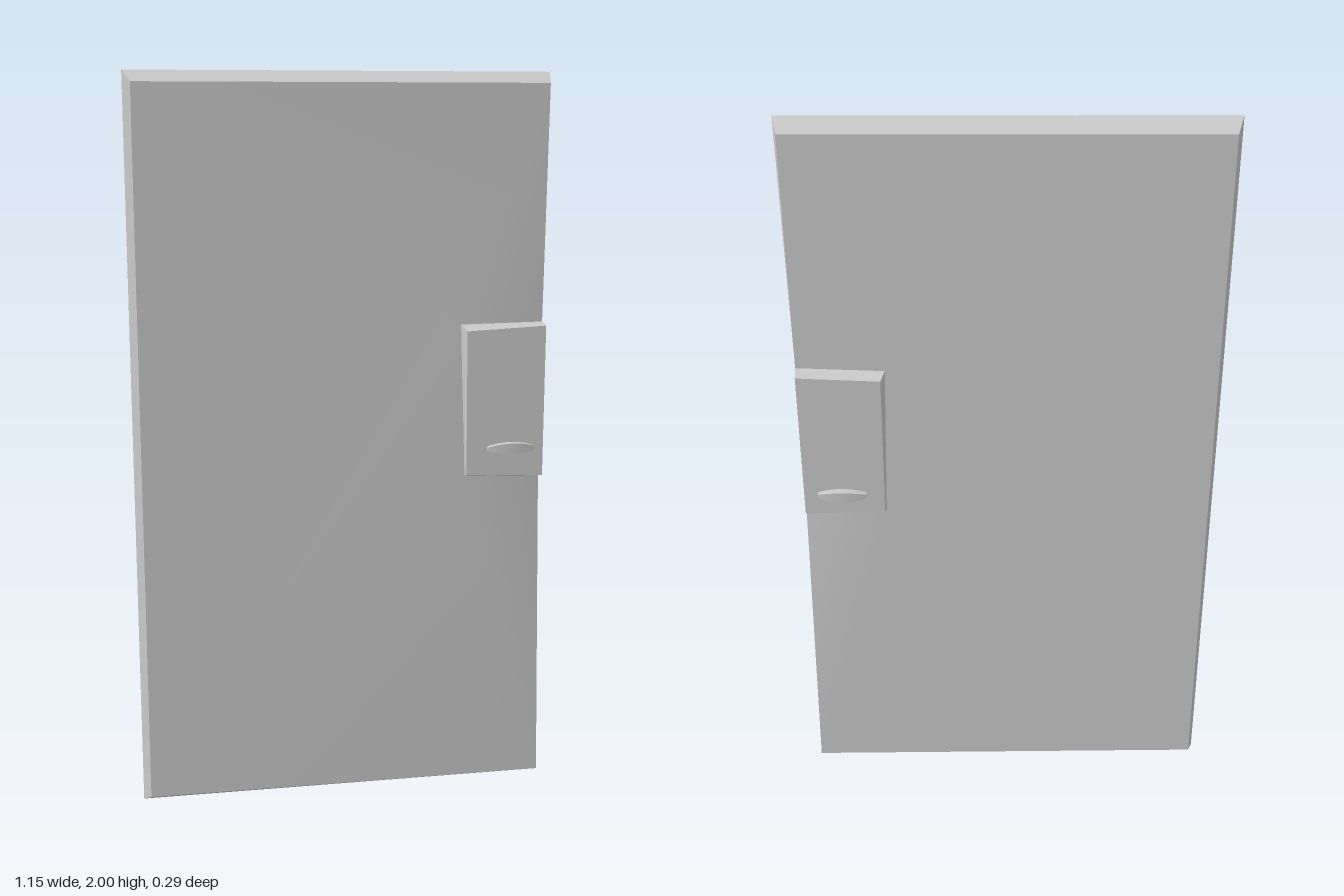
import * as THREE from 'three';

const grey = new THREE.MeshStandardMaterial({ color: 0xc8c8c8 });
grey.name = 'plain grey';

// Corner points of the front half: panel face, centre ridge (z = 0) and lock block
const P = {
  bl: [-0.555, 0.03, 0.058], br: [0.565, 0.018, 0.056], tr: [0.553, 1.97, 0.05], tl: [-0.557, 1.97, 0.053],
  // where the lock block meets the panel
  lockBL: [0.328, 0.912, 0.072], lockBR: [0.554, 0.915, 0.03], lockTR: [0.554, 1.33, 0.03], lockTL: [0.318, 1.33, 0.047],
  // outer face of the lock block
  outBL: [0.332, 0.915, 0.078], outBR: [0.55, 0.906, 0.078], outTR: [0.55, 1.325, 0.078], outTL: [0.328, 1.315, 0.078],
  // ridge around the rim
  rimBL: [-0.572, 0, 0], rimBR: [0.573, 0, 0], rimLow: [0.558, 0.912, 0],
  rimHigh: [0.558, 1.33, 0], rimTR: [0.566, 2, 0], rimTL: [-0.575, 2, 0],
};

// Quads given as corner names; side = -1 mirrors them to the back
function shell(name, quads, side, smooth = false) {
  const pos = [], index = [], seen = new Map();
  const vertex = (key) => {
    if (smooth && seen.has(key)) return seen.get(key);
    const [x, y, z] = P[key];
    pos.push(x, y, z * side);
    seen.set(key, pos.length / 3 - 1);
    return pos.length / 3 - 1;
  };
  for (const quad of quads) {
    const [a, b, c, d] = quad.split(' ').map(vertex);
    index.push(...(side > 0 ? [a, b, c, a, c, d] : [a, c, b, a, d, c]));
  }
  const geo = new THREE.BufferGeometry();
  geo.setAttribute('position', new THREE.Float32BufferAttribute(pos, 3));
  geo.setIndex(index);
  geo.computeVertexNormals();
  const mesh = new THREE.Mesh(geo, grey);
  mesh.name = name;
  return mesh;
}

// Lens-shaped handle: a box tapered towards both ends, bowed on its outer face
function handle(side) {
  const geo = new THREE.BoxGeometry(0.13, 0.03, 0.022, 8, 1, 1);
  const p = geo.attributes.position;
  for (let i = 0; i < p.count; i++) {
    const t = Math.abs(p.getX(i)) / 0.065;
    p.setY(i, p.getY(i) * (1 - 0.65 * t * t));
    if (p.getZ(i) * side > 0) p.setZ(i, p.getZ(i) - side * 0.008 * t * t);
  }
  geo.computeVertexNormals();
  const mesh = new THREE.Mesh(geo, grey);
  mesh.position.set(0.44, 1.0, side * 0.136);
  return mesh;
}

export function createModel() {
  const door = new THREE.Group();
  door.name = 'door';
  for (const [label, side] of [['front', 1], ['back', -1]]) {
    // Panel face, swelling gently towards the lock
    door.add(shell(label + 'Panel', [
      'lockTL tl bl lockBL',
      'lockBL bl br lockBR',
      'lockTL lockTR tr tl',
    ], side, true));
    // Bevelled rim running out to the centre ridge
    door.add(shell(label + 'Rim', [
      'rimBL rimBR br bl',
      'tl tr rimTR rimTL',
      'rimBL bl tl rimTL',
      'br rimBR rimLow lockBR',
      'lockBR rimLow rimHigh lockTR',
      'lockTR rimHigh rimTR tr',
    ], side));
    // Raised lock block
    door.add(shell(label + 'Lock', [
      'outBL outBR outTR outTL',
      'lockBL lockBR outBR outBL',
      'outTL outTR lockTR lockTL',
      'lockBL outBL outTL lockTL',
      'outBR lockBR lockTR outTR',
    ], side));
    const grip = handle(side);
    grip.name = label + 'Handle';
    door.add(grip);
  }
  return door;
}
